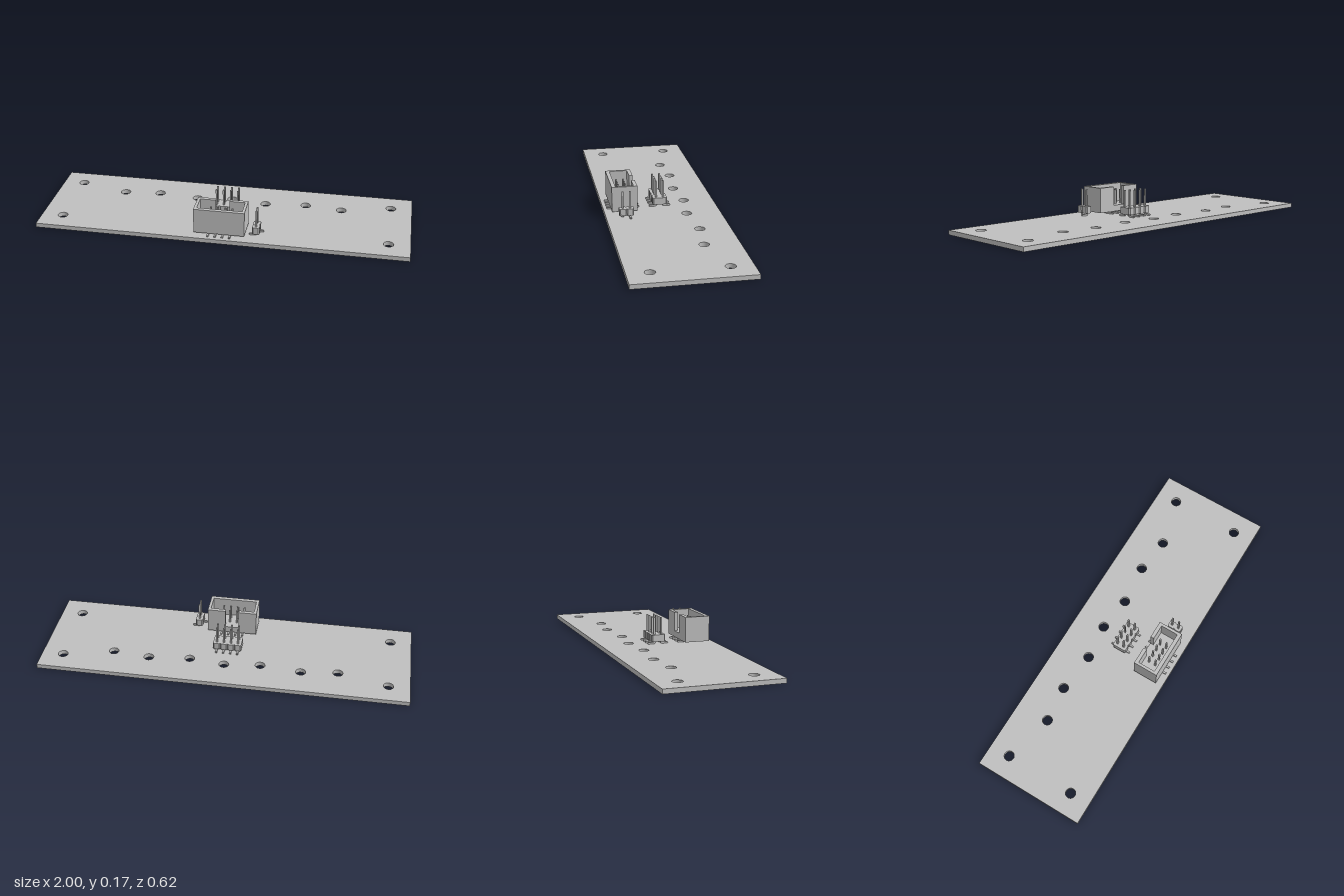
import * as THREE from 'three';

const grey = new THREE.MeshStandardMaterial({ color: 0xbfbfbf });
grey.name = 'plain grey';

const BOARD_TOP = 0.024, PITCH = 0.0388, PIN = 0.0095;

function add(parent, name, geometry, x = 0, y = 0, z = 0) {
  const mesh = new THREE.Mesh(geometry, grey);
  mesh.name = name;
  mesh.position.set(x, y, z);
  parent.add(mesh);
  return mesh;
}

// Extrudes a plan outline of [x, z] points upwards from y = 0
function plate(points, height, holes = []) {
  const shape = new THREE.Shape(points.map(([x, z]) => new THREE.Vector2(x, -z)));
  for (const [x, z, r] of holes) {
    shape.holes.push(new THREE.Path().absarc(x, -z, r, 0, Math.PI * 2, true));
  }
  return new THREE.ExtrudeGeometry(shape, { depth: height, bevelEnabled: false, curveSegments: 16 })
    .rotateX(-Math.PI / 2);
}

// L-shaped surface-mount pin: foot along +x, rounded bend and rounded ends
function pinGeometry(reach, top) {
  const h = PIN / 2, r = 0.004;
  const s = new THREE.Shape();
  s.moveTo(-h, top - r);
  s.lineTo(-h, PIN);
  s.absarc(PIN - h, PIN, PIN, Math.PI, Math.PI * 1.5, false);
  s.lineTo(reach - r, 0);
  s.absarc(reach - r, r, r, -Math.PI / 2, 0, false);
  s.lineTo(reach, PIN - r);
  s.absarc(reach - r, PIN - r, r, 0, Math.PI / 2, false);
  s.lineTo(h, PIN);
  s.lineTo(h, top - r);
  s.absarc(h - r, top - r, r, 0, Math.PI / 2, false);
  s.absarc(-h + r, top - r, r, Math.PI / 2, Math.PI, false);
  return new THREE.ExtrudeGeometry(s, { depth: PIN, bevelEnabled: false, curveSegments: 5 })
    .translate(0, 0, -PIN / 2);
}

function addPin(parent, geometry, x, z, angle) {
  add(parent, 'pin', geometry, x, BOARD_TOP, z).rotation.y = angle;
}

// Two rows of four pins with feet pointing outwards to front and back
function addPinRows(parent, cx, cz, geometry) {
  for (let i = 0; i < 4; i++) {
    for (const side of [-1, 1]) {
      addPin(parent, geometry, cx + (i - 1.5) * PITCH, cz + side * PITCH / 2, -side * Math.PI / 2);
    }
  }
}

// Insulator block for one cell with chamfered corners
function cellGeometry(w, d) {
  const a = w / 2, b = d / 2, c = 0.006;
  return plate([[-a + c, -b], [-a, -b + c], [-a, b - c], [-a + c, b],
    [a - c, b], [a, b - c], [a, -b + c], [a - c, -b]], 0.038);
}

export function createModel() {
  const model = new THREE.Group();
  model.name = 'circuitBoard';

  // Board with corner and staggered middle holes
  const holes = [];
  for (const x of [-0.885, 0.885]) for (const z of [-0.193, 0.193]) holes.push([x, z, 0.027]);
  [-0.615, -0.417, -0.195, 0, 0.192, 0.415, 0.615].forEach((x, i) => {
    holes.push([x, i % 2 ? -0.147 : -0.125, 0.027]);
  });
  add(model, 'board', plate([[-1, -0.308], [-1, 0.308], [1, 0.308], [1, -0.308]], BOARD_TOP, holes));

  // Open double-row header
  const header = new THREE.Group();
  header.name = 'doubleRowHeader';
  model.add(header);
  const doubleCell = cellGeometry(PITCH, PITCH * 2);
  for (let i = 0; i < 4; i++) add(header, 'insulator', doubleCell, (i - 1.5) * PITCH, 0.038, 0);
  addPinRows(header, 0, 0, pinGeometry(0.038, 0.145));

  // Two-pin header with feet on opposite sides
  const small = new THREE.Group();
  small.name = 'twoPinHeader';
  model.add(small);
  const singleCell = cellGeometry(PITCH, PITCH);
  const smallPin = pinGeometry(0.037, 0.145);
  for (const side of [-1, 1]) {
    const z = 0.201 + side * PITCH / 2;
    add(small, 'insulator', singleCell, 0.191, 0.038, z);
    addPin(small, smallPin, 0.191, z, side < 0 ? 0 : Math.PI);
  }

  // Shrouded header: solid floor, walls with a key slot at the back
  const boxed = new THREE.Group();
  boxed.name = 'shroudedHeader';
  model.add(boxed);
  const L = -0.137, R = 0.135, B = 0.132, F = 0.27, cx = -0.001;
  const il = L + 0.015, ir = R - 0.015, ib = B + 0.02, fi = F - 0.021, slot = 0.037;
  add(boxed, 'shroudFloor', plate([[L, B], [L, F], [R, F], [R, B]], 0.034), 0, 0.036, 0);
  add(boxed, 'shroudWalls', plate([
    [cx - slot, B], [L, B], [L, F], [R, F], [R, B], [cx + slot, B],
    [cx + slot, ib], [ir, ib], [ir, fi], [il, fi], [il, ib], [cx - slot, ib],
  ], 0.104), 0, 0.07, 0);
  addPinRows(boxed, cx, 0.201, pinGeometry(0.069, 0.125));

  return model;
}
